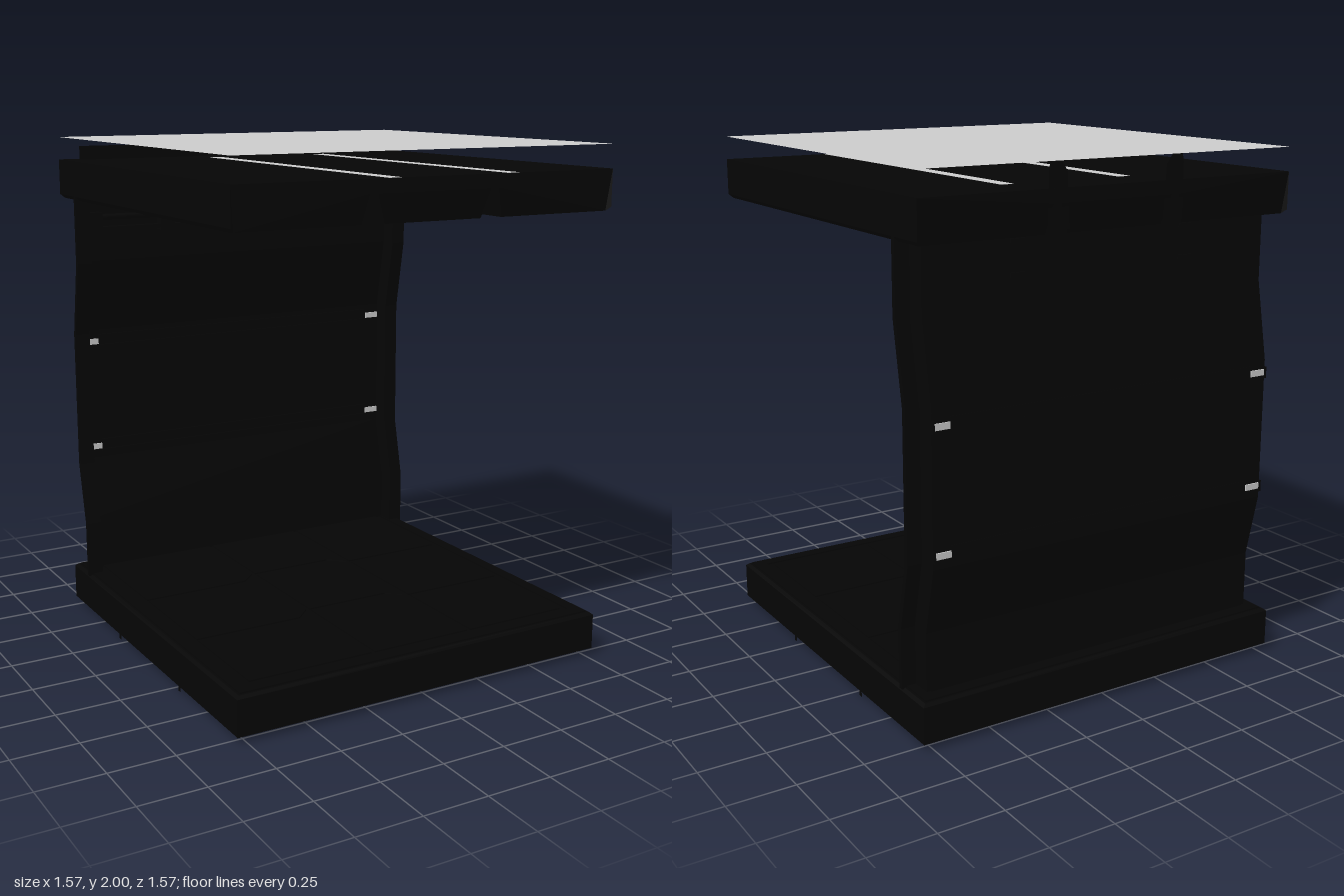
import * as THREE from 'three';

const dark = new THREE.MeshStandardMaterial({ color: 0x050505 });
const darkThin = new THREE.MeshStandardMaterial({ color: 0x050505, side: THREE.DoubleSide });
const grey = new THREE.MeshStandardMaterial({ color: 0xcccccc });
const greyThin = new THREE.MeshStandardMaterial({ color: 0xcccccc, side: THREE.DoubleSide });
const H = 0.785; // half width of the square section

export function createModel() {
  const model = new THREE.Group();

  const add = (name, geo, mat = dark, x = 0, y = 0, z = 0) => {
    const mesh = new THREE.Mesh(geo, mat);
    mesh.name = name;
    mesh.position.set(x, y, z);
    model.add(mesh);
    return mesh;
  };
  // box given by its min and max corners
  const box = (name, [x0, y0, z0], [x1, y1, z1], mat) =>
    add(name, new THREE.BoxGeometry(x1 - x0, y1 - y0, z1 - z0), mat,
      (x0 + x1) / 2, (y0 + y1) / 2, (z0 + z1) / 2);
  const polygon = (pts) => new THREE.Shape(pts.map(([x, y]) => new THREE.Vector2(x, y)));
  const extrude = (shape, depth) => new THREE.ExtrudeGeometry(shape, { depth, bevelEnabled: false });
  // square frustum with flat sides, for chamfered slabs
  const frustum = (top, bottom, h) => {
    const g = new THREE.CylinderGeometry(top * Math.SQRT2, bottom * Math.SQRT2, h, 4).toNonIndexed();
    g.rotateY(Math.PI / 4);
    g.computeVertexNormals();
    return g;
  };

  // floor: shallow frame below, chamfered slab above
  const ring = polygon([[-H, -H], [H, -H], [H, H], [-H, H]]);
  const r = H - 0.11;
  ring.holes.push(new THREE.Path([[-r, -r], [-r, r], [r, r], [r, -r]].map(([x, y]) => new THREE.Vector2(x, y))));
  const frame = extrude(ring, 0.025);
  frame.rotateX(-Math.PI / 2);
  add('floorFrame', frame, dark, 0, 0.025, 0);
  box('floorSlab', [-H, 0.05, -H], [H, 0.165, H]);
  add('floorChamfer', frustum(H - 0.012, H, 0.01), dark, 0, 0.17, 0);

  // floor plates: rows whose seams jog sideways near the middle
  const jogs = [[-0.7, 0], [-0.25, 0], [-0.18, 0.06], [0.18, 0.06], [0.25, 0], [0.7, 0]];
  const seams = [-0.7, -0.27, 0.2, 0.7];
  const cuts = [[0, 2], [2, 4], [4, 5]];
  for (let row = 0; row < 3; row++) {
    const edge = (i, [x, dz]) => [x, seams[i] + (i % 3 ? dz : 0)];
    for (const [a, b] of cuts) {
      const run = jogs.slice(a, b + 1).map(([x, dz], i, all) =>
        [x + (i === 0 ? 0.008 : i === all.length - 1 ? -0.008 : 0), dz]);
      const near = run.map((p) => edge(row, p)).map(([x, z]) => [x, z + 0.008]);
      const far = run.map((p) => edge(row + 1, p)).map(([x, z]) => [x, z - 0.008]).reverse();
      const plate = extrude(polygon([...near, ...far]), 0.008);
      plate.rotateX(-Math.PI / 2);
      add('floorPlate', plate, dark, 0, 0.172, 0);
    }
  }
  for (const s of [-1, 1]) {
    // raised floor rim
    box('floorRimSide', [s * 0.74 - 0.025, 0.17, -0.765], [s * 0.74 + 0.025, 0.18, 0.765]);
    box('floorRimEnd', [-0.715, 0.17, s * 0.74 - 0.025], [0.715, 0.18, s * 0.74 + 0.025]);
    // thin tabs under the two side edges
    for (const z of [-0.29, 0.29]) {
      const tab = add('floorTab', new THREE.PlaneGeometry(0.02, 0.05), darkThin, s * 0.78, 0.025, z);
      tab.rotation.y = Math.PI / 2;
    }
  }

  // back wall: kinked line (y, z of the front face) swept across the width,
  // between two depths measured backwards from that line
  const line = [[0.17, -0.61], [0.4, -0.61], [0.65, -0.665], [1.2, -0.665], [1.5, -0.61], [1.78, -0.61]];
  const wall = (name, x0, x1, front, back) => {
    const inner = line.map(([y, z]) => [front - z, y]);
    const outer = line.map(([y, z]) => [back - z, y]).reverse();
    const g = extrude(polygon([...inner, ...outer].reverse()), x1 - x0);
    g.rotateY(Math.PI / 2); // shape x becomes -z, depth becomes +x
    add(name, g, dark, x0, 0, 0);
  };
  // a recessed pan: back panel, side webs and outward front flanges
  wall('wallPanel', -0.725, 0.725, 0.075, 0.1);
  for (const s of [-1, 1]) {
    wall('wallWeb', s * 0.7275 - 0.0025, s * 0.7275 + 0.0025, 0, 0.1);
    wall('wallFlange', s * 0.755 - 0.03, s * 0.755 + 0.03, 0, 0.02);
  }

  // horizontal ribs with a lamp at each end, set through the back panel
  for (const y of [0.698, 1.152]) {
    box('wallRib', [-0.66, y + 0.014, -0.768], [0.66, y + 0.03, -0.73]);
    box('wallRib', [-0.66, y - 0.026, -0.766], [0.66, y - 0.014, -0.73]);
    for (const s of [-1, 1]) {
      box('wallLamp', [s * 0.692 - 0.032, y - 0.012, -0.77], [s * 0.692 + 0.032, y + 0.012, -0.735], grey);
      box('lampClip', [s * 0.727 - 0.003, y - 0.022, -0.776], [s * 0.727 + 0.003, y + 0.022, -0.75]);
    }
  }

  // conduit along the top of the wall with brackets, and studs on the back
  const pipe = new THREE.CylinderGeometry(0.012, 0.012, 1.44, 8);
  pipe.rotateZ(Math.PI / 2);
  add('conduit', pipe, dark, 0, 1.68, -0.665);
  box('conduitLedge', [-0.72, 1.625, -0.69], [0.72, 1.64, -0.65]);
  for (const s of [-1, 1]) {
    for (const x of [0.37, 0.69]) {
      box('conduitBracket', [s * x - 0.032, 1.615, -0.69], [s * x + 0.032, 1.7, -0.645]);
    }
    for (const y of [1.62, 1.735]) {
      box('backStud', [s * 0.36 - 0.03, y - 0.008, -0.718], [s * 0.36 + 0.03, y + 0.008, -0.7]);
    }
  }

  // roof: two grooves run front to back along the underside
  const left = [[0.2, 1.755], [0.235, 1.86], [0.265, 1.86], [0.29, 1.755]];
  const right = left.map(([x, y]) => [-x, y]).reverse();
  const roof = extrude(polygon([
    [-H, 1.91], [-H, 1.77], [-H + 0.015, 1.755], ...right, ...left,
    [H - 0.015, 1.755], [H, 1.77], [H, 1.91],
  ]), 2 * H);
  roof.translate(0, 0, -H);
  const pos = roof.attributes.position;
  for (let i = 0; i < pos.count; i++) {
    // chamfer the lower front and back edges
    if (pos.getY(i) < 1.76) pos.setZ(i, pos.getZ(i) * 0.981);
  }
  roof.computeVertexNormals();
  add('roofSlab', roof);

  // light strips let into the roof top
  for (const x of [-0.165, 0.33]) {
    box('roofLightStrip', [x - 0.025, 1.9, -0.6], [x + 0.025, 1.911, H - 0.001], grey);
  }
  // thin upright plates at the back edge of the roof
  for (const s of [-1, 1]) {
    const plate = new THREE.ShapeGeometry(polygon(
      [[0.2, 1.77], [0.285, 1.77], [0.285, 1.97], [0.28, 2], [0.235, 2], [0.21, 1.965]].map(([x, y]) => [s * x, y])));
    add('roofPlate', plate, darkThin, 0, 0, -0.783);
  }
  add('roofUpstand', new THREE.PlaneGeometry(1.44, 0.06), dark, 0, 1.935, -0.72);

  // flat cover sheet above the roof
  const sheet = new THREE.PlaneGeometry(2 * H, 2 * H);
  sheet.rotateX(-Math.PI / 2);
  add('coverSheet', sheet, greyThin, 0, 2, 0);

  return model;
}
